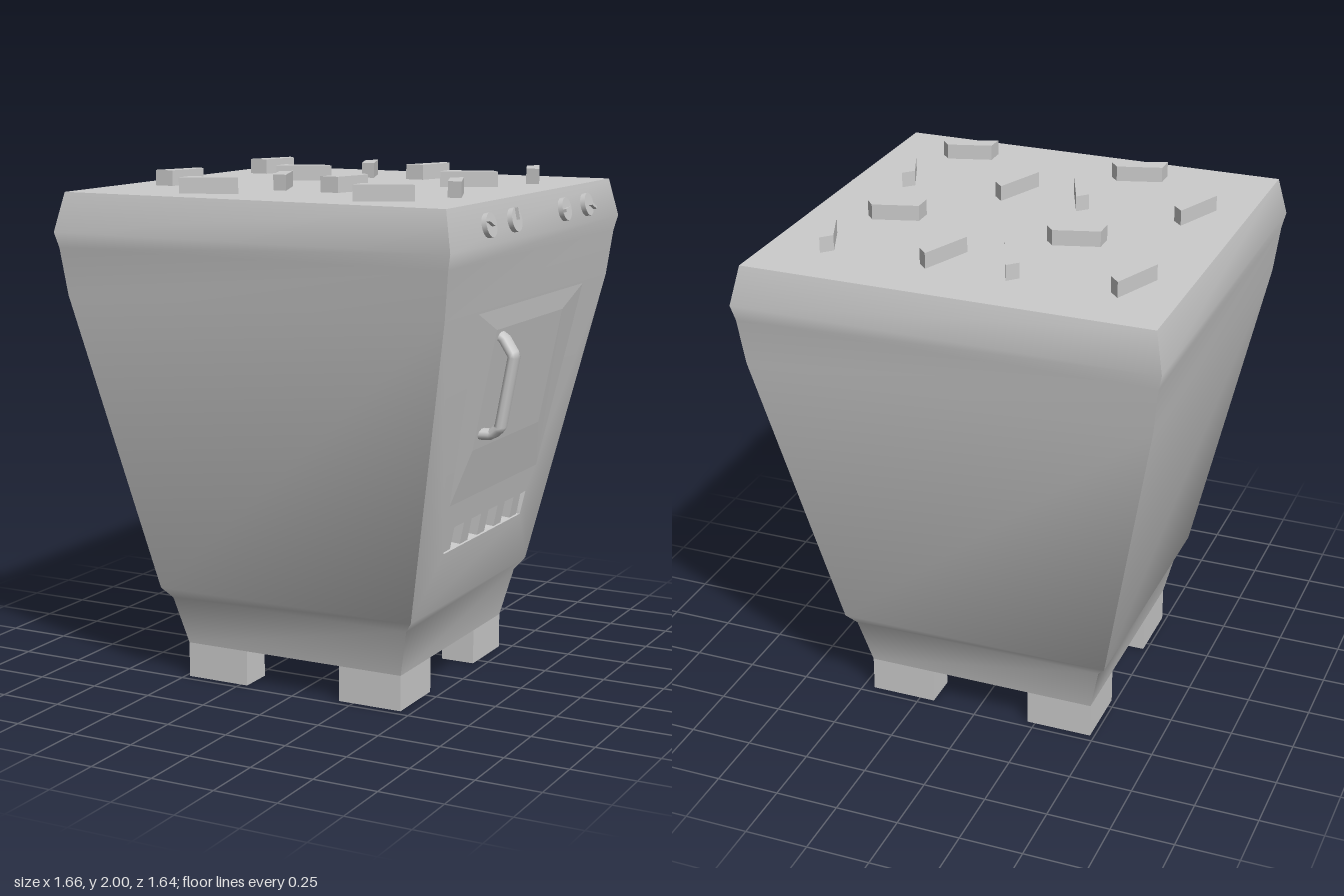
import * as THREE from 'three';
import { mergeGeometries, toCreasedNormals } from 'three/addons/utils/BufferGeometryUtils.js';

const CX = -0.015;
// [height, half width] of the square body, bottom to top
const PROFILE = [[0.14, 0.468], [0.33, 0.512], [0.375, 0.547], [1.55, 0.785], [1.73, 0.806], [1.79, 0.82], [1.94, 0.788]];
const MAIN = 2; // band of the profile that holds the door and vent

function wallX(y) {
  let i = 0;
  while (i < PROFILE.length - 2 && y > PROFILE[i + 1][0]) i++;
  const [y0, w0] = PROFILE[i], [y1, w1] = PROFILE[i + 1];
  return CX + w0 + (w1 - w0) * (y - y0) / (y1 - y0);
}

// Joins four-cornered rings with quads and caps the last ring
function loft(rings, skip = () => false, cap = true) {
  const p = [];
  const quad = (a, b, c, d) => [a, b, c, a, c, d].forEach(v => p.push(...v));
  for (let r = 0; r < rings.length - 1; r++) {
    for (let i = 0; i < 4; i++) {
      if (skip(r, i)) continue;
      const j = (i + 1) % 4;
      quad(rings[r][i], rings[r][j], rings[r + 1][j], rings[r + 1][i]);
    }
  }
  if (cap) quad(...rings[rings.length - 1]);
  const g = new THREE.BufferGeometry();
  g.setAttribute('position', new THREE.Float32BufferAttribute(p, 3));
  g.computeVertexNormals();
  return g;
}

// Ring lying on the sloping left wall; d is the offset out of the wall
const wallRing = (z0, z1, y0, y1, d, flare = 0) =>
  [[z1, y0], [z0, y0], [z0 - flare, y1], [z1 + flare, y1]].map(([z, y]) => [wallX(y) + d, y, z]);

export function createModel() {
  const group = new THREE.Group();
  const material = new THREE.MeshStandardMaterial({ color: 0xcccccc });
  const add = (name, geometry, parent = group) => {
    const mesh = new THREE.Mesh(geometry, material);
    mesh.name = name;
    parent.add(mesh);
    return mesh;
  };

  // Body: tapered square shell, its left wall cut open for the vent
  const rings = PROFILE.map(([y, w]) => [[-w, w], [w, w], [w, -w], [-w, -w]].map(([x, z]) => [CX + x, y, z]));
  const shell = loft(rings, (r, i) => r === MAIN && i === 1);
  const [y0, w0] = PROFILE[MAIN], [y1, w1] = PROFILE[MAIN + 1];
  const points = list => list.map(([u, v]) => new THREE.Vector2(u, v));
  const wallShape = new THREE.Shape(points([[-w0, y0], [w0, y0], [w1, y1], [-w1, y1]]));
  wallShape.holes.push(new THREE.Path(points([[-0.365, 0.605], [-0.375, 0.7], [0.38, 0.7], [0.37, 0.605]])));
  const wall = new THREE.ShapeGeometry(wallShape).toNonIndexed();
  wall.deleteAttribute('uv');
  const pos = wall.attributes.position;
  for (let i = 0; i < pos.count; i++) {
    const y = pos.getY(i);
    pos.setXYZ(i, wallX(y), y, -pos.getX(i));
  }
  // the shape is mirrored in z, which keeps its faces outward
  wall.computeVertexNormals();
  add('body', toCreasedNormals(mergeGeometries([shell, wall]), 0.7));

  // Underside
  const base = add('underside', new THREE.PlaneGeometry(0.936, 0.936).rotateX(Math.PI / 2));
  base.position.set(CX, 0.14, 0);

  // Feet: L-shaped in plan, one at each corner
  const L = 0.264, T = 0.14, E = 0.468;
  for (const sx of [-1, 1]) {
    for (const sz of [-1, 1]) {
      const plan = [[E, E], [E - L, E], [E - L, E - T], [E - T, E - T], [E - T, E - L], [E, E - L]];
      const shape = new THREE.Shape(points(plan.map(([x, z]) => [x * sx, z * sz])));
      const foot = add('foot', new THREE.ExtrudeGeometry(shape, { depth: 0.14, bevelEnabled: false })
        .rotateX(-Math.PI / 2));
      foot.position.x = CX;
    }
  }

  // Door: shallow raised panel with bevelled border
  add('doorPanel', loft([
    wallRing(-0.44, 0.4, 0.8, 1.54, 0, 0.09),
    wallRing(-0.33, 0.31, 1.0, 1.46, 0.01),
  ]));

  // Vent: recess with upright bars (z is mirrored with the wall opening)
  const vent = new THREE.Group();
  vent.name = 'vent';
  group.add(vent);
  add('ventRecess', loft([
    wallRing(-0.37, 0.365, 0.605, 0.7, 0, 0.01),
    wallRing(-0.36, 0.355, 0.61, 0.695, -0.06, 0.005),
  ]), vent);
  for (let i = 0; i < 5; i++) {
    const bar = add('ventBar', new THREE.BoxGeometry(0.045, 0.1, 0.07), vent);
    bar.position.set(wallX(0.652) - 0.033, 0.652, 0.32 - i * 0.16);
    bar.rotation.z = -0.2;
  }

  // Handle: bent bar, wider than it is thick
  const path = new THREE.CurvePath();
  const bend = [[0.72, 1.435], [0.765, 1.425], [0.807, 1.36], [0.757, 1.09], [0.722, 1.058], [0.655, 1.055]]
    .map(([x, y]) => new THREE.Vector3(x, y, 0));
  for (let i = 0; i < bend.length - 1; i++) path.add(new THREE.LineCurve3(bend[i], bend[i + 1]));
  const handle = add('doorHandle', new THREE.TubeGeometry(path, 40, 0.022, 10));
  handle.scale.z = 1.65;
  handle.position.z = 0.253;

  // Knobs with pointers, angles measured from upright
  for (const [z, angle] of [[0.48, 1.1], [0.25, 0], [-0.24, 1.7], [-0.475, -2.0]]) {
    const knob = new THREE.Group();
    knob.name = 'knob';
    knob.position.set(wallX(1.858), 1.858, z);
    knob.rotation.z = 0.2;
    const dial = add('knobDial', new THREE.CylinderGeometry(0.045, 0.045, 0.045, 20).rotateZ(Math.PI / 2), knob);
    dial.position.x = -0.003;
    const pointer = add('knobPointer', new THREE.BoxGeometry(0.018, 0.045, 0.012).translate(0.024, 0.021, 0), knob);
    pointer.rotation.x = angle;
    group.add(knob);
  }

  // Burner grates: three wedge-shaped blocks around each of four burners
  const wedges = [
    [[-0.67, -0.373], [-0.595, -0.373], [-0.552, -0.535], [-0.59, -0.575]],
    [[-0.145, -0.373], [-0.09, -0.373], [-0.172, -0.575], [-0.21, -0.535]],
    [[-0.38, -0.077], [-0.175, -0.163], [-0.208, -0.2], [-0.38, -0.15]],
  ];
  for (const dx of [0, 0.727]) {
    for (const dz of [0, 0.735]) {
      const burner = new THREE.Group();
      burner.name = 'burner';
      burner.position.set(dx, 1.93, dz);
      for (const wedge of wedges) {
        const shape = new THREE.Shape(points(wedge.map(([x, z]) => [x, -z])));
        add('grateBlock', new THREE.ExtrudeGeometry(shape, { depth: 0.07, bevelEnabled: false })
          .rotateX(-Math.PI / 2), burner);
      }
      group.add(burner);
    }
  }
  return group;
}
